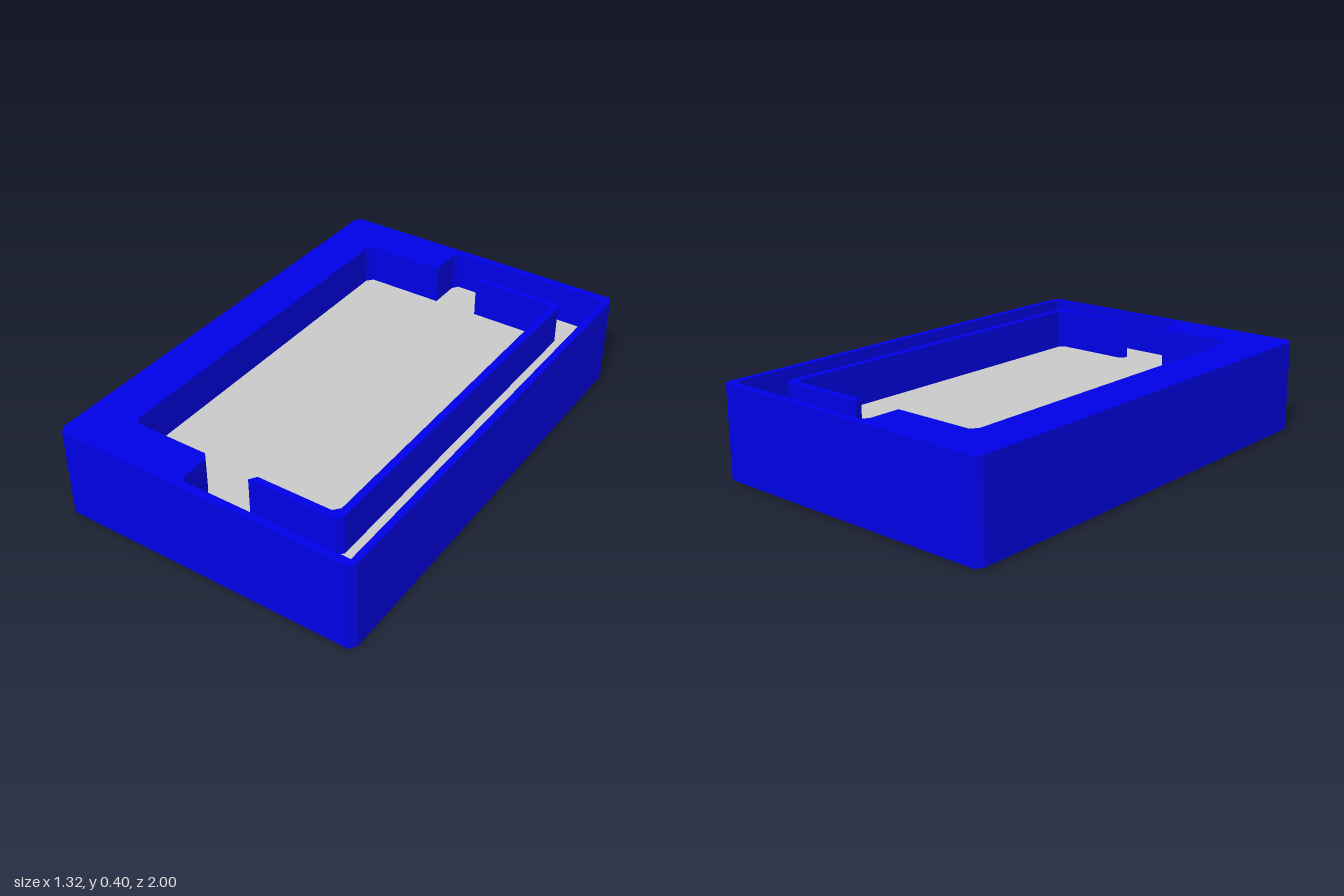
import * as THREE from 'three';

const HEIGHT = 0.4, FLOOR = 0.23, CHAMFER = 0.01;

// Outlines are clockwise [x, z] pairs as drawn; reversed so walls face outward and holes inward
const toPoints = (list) => list.map(([x, z]) => new THREE.Vector2(x, -z)).reverse();

// Prism standing between two heights
function prism(shape, bottom, top) {
  const geometry = new THREE.ExtrudeGeometry(shape, { depth: top - bottom, bevelEnabled: false });
  geometry.rotateX(-Math.PI / 2);
  geometry.translate(0, bottom, 0);
  return geometry;
}

export function createModel() {
  const blue = new THREE.MeshStandardMaterial({ color: 0x0000e8 });
  const grey = new THREE.MeshStandardMaterial({ color: 0xcccccc });
  const group = new THREE.Group();
  const add = (name, geometry, material) => {
    const mesh = new THREE.Mesh(geometry, material);
    mesh.name = name;
    group.add(mesh);
  };

  // Outer block with small cut corners
  const outer = toPoints([
    [-0.66, -0.97], [-0.64, -1], [0.64, -1], [0.66, -0.97],
    [0.66, 0.97], [0.64, 1], [-0.64, 1], [-0.66, 0.97],
  ]);
  // Pocket: a wide recess on one side joined to a channel round the other
  const pocket = toPoints([
    [-0.462, -0.775], [-0.44, -0.803], [-0.098, -0.803], [-0.098, -0.94],
    [-0.08, -0.967], [0.61, -0.967], [0.63, -0.94], [0.63, 0.967],
    [-0.08, 0.967], [-0.098, 0.94], [-0.098, 0.83], [-0.12, 0.802],
    [-0.44, 0.802], [-0.462, 0.775],
  ]);
  // Thin bracket-shaped wall inside the pocket
  const divider = toPoints([
    [0.098, -0.834], [0.475, -0.834], [0.495, -0.805], [0.495, 0.805],
    [0.475, 0.832], [0.1, 0.832], [0.12, 0.802], [0.44, 0.802],
    [0.462, 0.775], [0.462, -0.775], [0.44, -0.803], [0.098, -0.803],
  ]);

  const rim = new THREE.Shape(outer);
  rim.holes.push(new THREE.Path(pocket));
  add('body', prism(rim, CHAMFER, HEIGHT), blue);
  add('dividerWall', prism(new THREE.Shape(divider), FLOOR, HEIGHT), blue);

  // Underside, drawn in at the bottom to make the chamfer
  const base = prism(new THREE.Shape(outer), 0, CHAMFER);
  const p = base.attributes.position;
  for (let i = 0; i < p.count; i++) {
    if (p.getY(i) < CHAMFER / 2) {
      p.setX(i, p.getX(i) - 0.02 * Math.sign(p.getX(i)));
      p.setZ(i, p.getZ(i) - 0.025 * Math.sign(p.getZ(i)));
    }
  }
  base.computeVertexNormals();
  add('chamferedBase', base, blue);

  // Pocket floor
  const floor = new THREE.ShapeGeometry(new THREE.Shape(pocket));
  floor.rotateX(-Math.PI / 2);
  floor.translate(0, FLOOR, 0);
  add('pocketFloor', floor, grey);

  return group;
}
